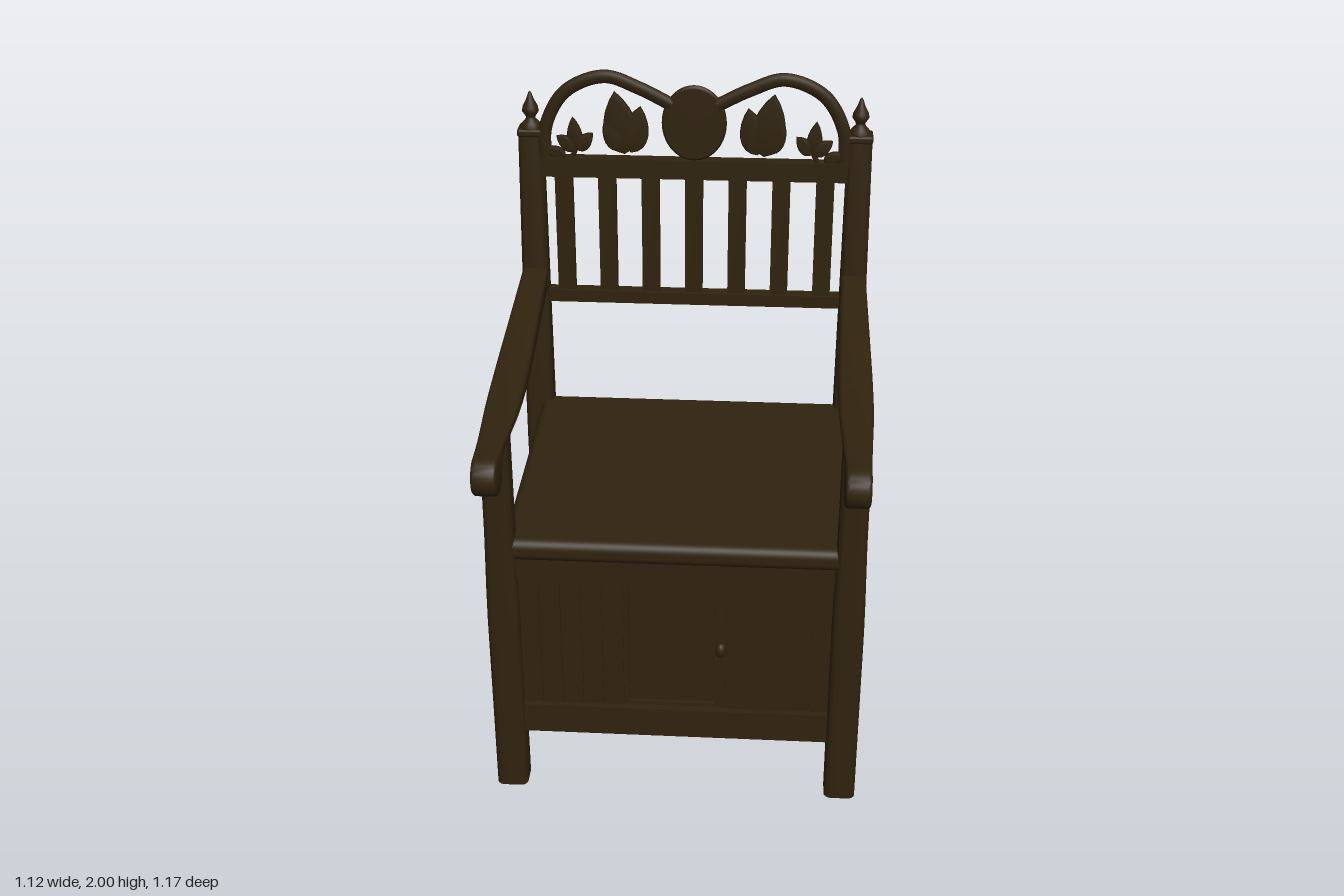
import * as THREE from 'three';
import { toCreasedNormals } from 'three/addons/utils/BufferGeometryUtils.js';
import { RoundedBoxGeometry } from 'three/addons/geometries/RoundedBoxGeometry.js';

export function createModel() {
  const chair = new THREE.Group();
  chair.name = 'storageArmchair';
  const wood = new THREE.MeshStandardMaterial({ color: 0x30230f });
  wood.name = 'darkWood';

  function add(name, geometry, x = 0, y = 0, z = 0) {
    const mesh = new THREE.Mesh(geometry, wood);
    mesh.name = name;
    mesh.position.set(x, y, z);
    chair.add(mesh);
    return mesh;
  }
  // Box given by its limits on each axis
  function box(name, x0, x1, y0, y1, z0, z1) {
    return add(name, new THREE.BoxGeometry(x1 - x0, y1 - y0, z1 - z0),
      (x0 + x1) / 2, (y0 + y1) / 2, (z0 + z1) / 2);
  }
  // Move every vertex of a geometry by a rule
  function bend(geometry, rule) {
    const p = geometry.attributes.position;
    const v = new THREE.Vector3();
    for (let i = 0; i < p.count; i++) {
      rule(v.fromBufferAttribute(p, i));
      p.setXYZ(i, v.x, v.y, v.z);
    }
    return toCreasedNormals(geometry, 0.7);
  }
  // Upright post with rounded corners; rule shapes it along its height
  function post(height, size, rule) {
    const h = size / 2, r = 0.022;
    const s = new THREE.Shape();
    s.moveTo(-h + r, -h);
    s.absarc(h - r, -h + r, r, -Math.PI / 2, 0);
    s.absarc(h - r, h - r, r, 0, Math.PI / 2);
    s.absarc(-h + r, h - r, r, Math.PI / 2, Math.PI);
    s.absarc(-h + r, -h + r, r, Math.PI, Math.PI * 1.5);
    const g = new THREE.ExtrudeGeometry(s, {
      depth: height, steps: 12, bevelEnabled: false, curveSegments: 4 });
    g.rotateX(-Math.PI / 2);
    return bend(g, rule);
  }

  // Posts: front ones taper, back ones lean backwards above the seat
  const frontPost = post(1.22, 0.095, v => {
    const k = 1 - 0.13 * THREE.MathUtils.smoothstep(v.y, 0.6, 1.0);
    v.x *= k;
    v.z *= k;
  });
  const backPost = post(1.8, 0.092, v => {
    const t = Math.max(0, (v.y - 0.85) / 0.95);
    v.x *= 1 - 0.18 * t;
    v.z = v.z * (1 - 0.28 * t) - 0.038 * t;
  });
  const finial = new THREE.LatheGeometry([
    [0, 0], [0.034, 0], [0.034, 0.012], [0.026, 0.022], [0.014, 0.035], [0.016, 0.043],
    [0.026, 0.058], [0.024, 0.072], [0.012, 0.095], [0.005, 0.115], [0, 0.122]
  ].map(p => new THREE.Vector2(...p)), 16);

  // Arm: side profile with a scroll at the front, widened in the middle
  const arm = new THREE.Shape();
  arm.moveTo(-0.5, 1.355);
  arm.splineThru([[-0.25, 1.315], [0, 1.273], [0.2, 1.248], [0.4, 1.237], [0.527, 1.238]]
    .map(p => new THREE.Vector2(...p)));
  arm.absarc(0.527, 1.18, 0.058, Math.PI / 2, -Math.PI * 0.8, true);
  arm.splineThru([[0.455, 1.19], [0.41, 1.203], [0.2, 1.203], [0, 1.213], [-0.25, 1.242], [-0.5, 1.28]]
    .map(p => new THREE.Vector2(...p)));
  const armGeometry = new THREE.ExtrudeGeometry(arm, {
    depth: 0.066, bevelThickness: 0.017, bevelSize: 0.012, bevelOffset: -0.012,
    bevelSegments: 4, curveSegments: 10 });
  armGeometry.rotateY(-Math.PI / 2).translate(0.033, 0, 0);
  const armBent = bend(armGeometry, v => {
    const front = THREE.MathUtils.smoothstep(v.z, 0.15, 0.55);
    const back = THREE.MathUtils.smoothstep(-v.z, -0.1, 0.5);
    v.x *= 1 - 0.28 * front - 0.2 * back;
  });

  for (const s of [-1, 1]) {
    add('frontLeg', frontPost, s * 0.508, 0, 0.373);
    add('backPost', backPost, s * 0.509, 0, -0.51);
    add('postCap', new RoundedBoxGeometry(0.082, 0.025, 0.072, 2, 0.008), s * 0.508, 1.795, -0.546);
    add('finial', finial, s * 0.508, 1.8, -0.546);
    add('armrest', armBent, s * 0.508, 0, 0);

    // Side rails and slats
    const [x0, x1] = s > 0 ? [0.465, 0.505] : [-0.505, -0.465];
    box('sideTopRail', x0, x1, 0.75, 0.825, -0.48, 0.34);
    box('sideBottomRail', x0, x1, 0.2, 0.3, -0.48, 0.34);
    for (const z of [0.278, 0.164, 0.04, -0.072, -0.183, -0.3, -0.409])
      box('sideSlat', x0 + 0.008, x1 - 0.008, 0.29, 0.76, z - 0.037, z + 0.037);
  }

  // Seat and storage box
  add('seat', new RoundedBoxGeometry(1.0, 0.07, 0.93, 4, 0.028), 0, 0.855, -0.055);
  box('seatUnderside', -0.47, 0.47, 0.8, 0.83, -0.49, 0.37);
  box('floor', -0.47, 0.47, 0.215, 0.235, -0.5, 0.37);
  box('frontTopRail', -0.47, 0.47, 0.75, 0.825, 0.355, 0.395);
  box('frontBottomRail', -0.47, 0.47, 0.2, 0.3, 0.355, 0.4);
  box('backPanel', -0.47, 0.47, 0.29, 0.78, -0.515, -0.5);
  box('backTopRail', -0.47, 0.47, 0.77, 0.825, -0.525, -0.49);
  box('backBottomRail', -0.47, 0.47, 0.2, 0.3, -0.525, -0.49);

  // Planked front with a door
  box('frontBacking', -0.47, 0.47, 0.29, 0.76, 0.36, 0.374);
  for (let i = 0; i < 5; i++) {
    const a = -0.462 + i * 0.062;
    box('frontPlank', a, a + 0.058, 0.295, 0.755, 0.37, 0.382);
    box('frontPlank', -a - 0.058, -a, 0.295, 0.755, 0.37, 0.382);
  }
  box('doorPanel', -0.135, 0.115, 0.325, 0.735, 0.37, 0.382);
  box('doorStile', -0.148, -0.138, 0.31, 0.75, 0.37, 0.39);
  box('doorStile', 0.118, 0.152, 0.31, 0.75, 0.37, 0.39);
  box('doorRail', -0.148, 0.152, 0.31, 0.322, 0.37, 0.39);
  box('doorRail', -0.148, 0.152, 0.738, 0.75, 0.37, 0.39);
  const knob = add('doorKnob', new THREE.SphereGeometry(0.02, 16, 12), 0.136, 0.53, 0.4);
  knob.scale.set(0.85, 1.25, 0.9);

  // Backrest rails and slats
  const bz = -0.525;
  box('backrestTopRail', -0.475, 0.475, 1.66, 1.72, bz - 0.022, bz + 0.022);
  box('backrestBottomRail', -0.475, 0.475, 1.235, 1.275, bz - 0.022, bz + 0.022);
  for (let i = -3; i <= 3; i++)
    box('backrestSlat', i * 0.136 - 0.028, i * 0.136 + 0.028, 1.27, 1.67, bz - 0.012, bz + 0.012);

  // Carved crest: arches, medallion and leaves
  const cz = -0.52;
  function leaf(name, x, y, angle, length, width) {
    const w = width / 2;
    const s = new THREE.Shape();
    s.moveTo(0, 0);
    s.bezierCurveTo(w * 1.5, length * 0.1, w * 1.3, length * 0.65, 0, length);
    s.bezierCurveTo(-w * 1.3, length * 0.65, -w * 1.5, length * 0.1, 0, 0);
    const g = new THREE.ExtrudeGeometry(s, { depth: 0.008, bevelThickness: 0.006,
      bevelSize: 0.009, bevelOffset: -0.009, bevelSegments: 2, curveSegments: 8 });
    add(name, toCreasedNormals(g.translate(0, 0, -0.004), 0.6), x, y, cz).rotation.z = angle;
  }
  for (const s of [-1, 1]) {
    const path = new THREE.CatmullRomCurve3([[0.463, 1.71], [0.458, 1.82], [0.395, 1.93],
      [0.275, 1.979], [0.17, 1.945], [0.07, 1.895]]
      .map(([x, y]) => new THREE.Vector3(s * x, y, 0)));
    add('crestArch', new THREE.TubeGeometry(path, 40, 0.021, 10), 0, 0, cz).scale.z = 0.6;
    leaf('largeLeaf', s * 0.215, 1.735, s * -0.15, 0.2, 0.1);
    leaf('largeLeaf', s * 0.195, 1.74, s * 0.2, 0.15, 0.08);
    leaf('largeLeaf', s * 0.225, 1.745, s * -0.5, 0.11, 0.06);
    // Small three-lobed leaf
    for (const [a, l] of [[0, 0.105], [0.85, 0.075], [-0.85, 0.075]])
      leaf('smallLeaf', s * 0.365, 1.745, a - s * 0.1, l, 0.045);
    leaf('cornerLeaf', s * 0.4, 1.725, s * -1.2, 0.07, 0.035);
    const stem = new THREE.QuadraticBezierCurve3(new THREE.Vector3(s * 0.4, 1.715, 0),
      new THREE.Vector3(s * 0.37, 1.72, 0), new THREE.Vector3(s * 0.365, 1.76, 0));
    add('leafStem', new THREE.TubeGeometry(stem, 8, 0.008, 6), 0, 0, cz);
  }
  const disc = new THREE.CylinderGeometry(0.092, 0.092, 0.02, 40).rotateX(Math.PI / 2);
  add('medallion', disc, 0, 1.837, cz).scale.y = 1.2;
  add('medallionRim', new THREE.TorusGeometry(0.09, 0.01, 8, 40), 0, 1.837, cz).scale.y = 1.2;

  return chair;
}
